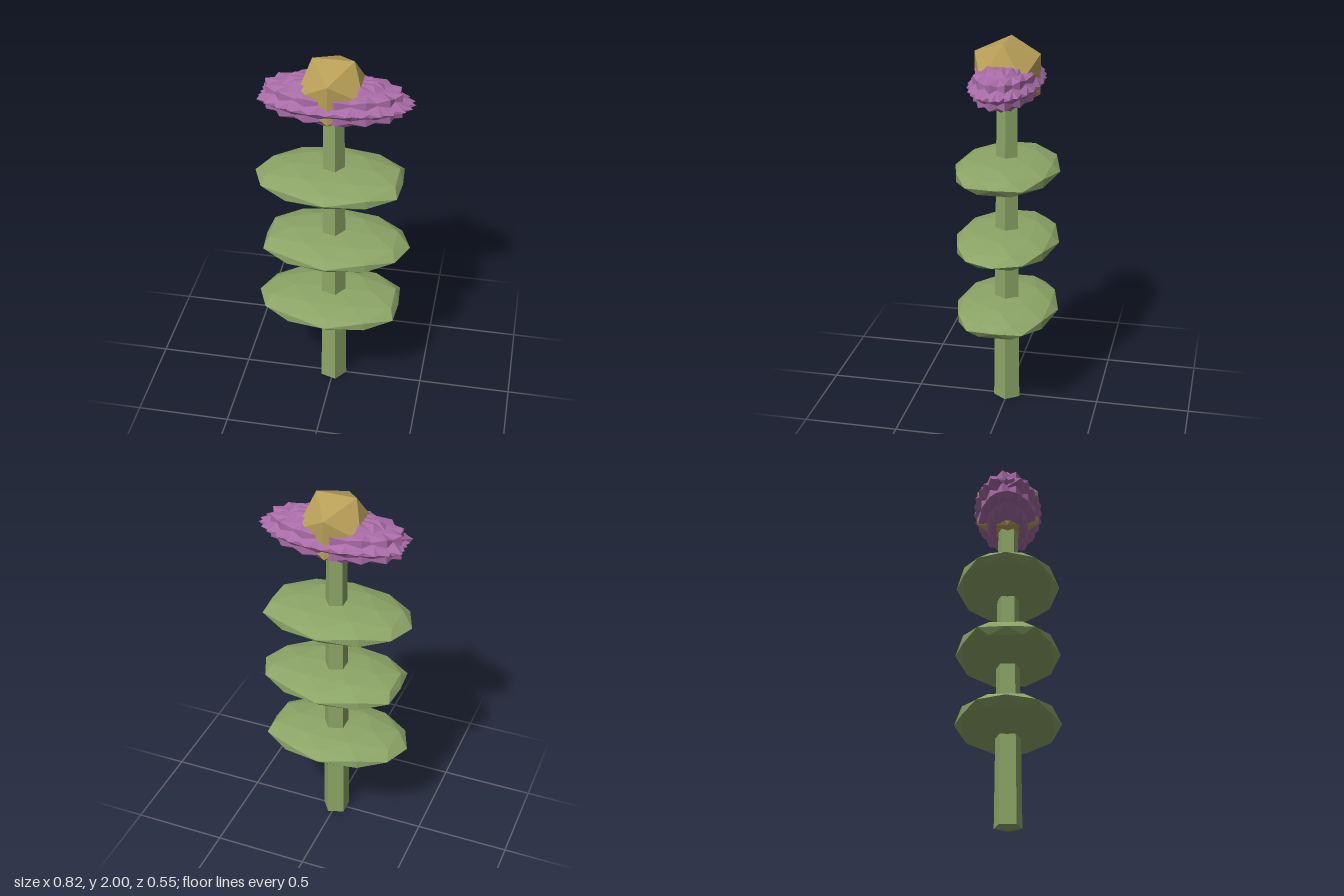
import * as THREE from 'three';

const material = (color) => new THREE.MeshStandardMaterial({ color, flatShading: true });

// Squashed faceted ball, blunted at one end by limiting x
function facetedDisc(detail, turn, sx, sy, sz, minX, maxX) {
  const g = new THREE.IcosahedronGeometry(1, detail);
  g.rotateY(turn);
  g.scale(sx, sy, sz);
  const p = g.attributes.position;
  for (let i = 0; i < p.count; i++) p.setX(i, THREE.MathUtils.clamp(p.getX(i), minX, maxX));
  g.computeVertexNormals();
  return g;
}

export function createModel() {
  const model = new THREE.Group();
  const green = material(0x8ca566);
  const purple = material(0xa86ca6);
  const gold = material(0xb89f58);

  const add = (parent, name, geometry, mat, y) => {
    const mesh = new THREE.Mesh(geometry, mat);
    mesh.name = name;
    mesh.position.y = y;
    parent.add(mesh);
    return mesh;
  };

  // Tapered five-sided stem with one corner towards +x
  const stemHeight = 1.78;
  const stem = new THREE.CylinderGeometry(0.055, 0.075, stemHeight, 5, 1, false, Math.PI / 2);
  add(model, 'stem', stem, green, stemHeight / 2);

  // Three leaf tiers, pointed ends alternating
  [0.54, 0.93, 1.325].forEach((y, i) => {
    const [minX, maxX] = i % 2 ? [-0.36, 0.41] : [-0.41, 0.36];
    add(model, 'leaf' + (i + 1), facetedDisc(1, 0, 0.41, 0.072, 0.277, minX, maxX), green, y);
  });

  // Spiky bloom: overlapping squashed icosahedra turned about the stem
  const petals = new THREE.Group();
  petals.name = 'petals';
  const count = 7;
  const tipAngle = Math.atan2(0.5257, 0.8507);
  for (let i = 0; i < count; i++) {
    const turn = tipAngle + (i * Math.PI) / count;
    add(petals, 'petal' + (i + 1), facetedDisc(0, turn, 0.41, 0.125, 0.19, -0.37, 0.41), purple, 1.79);
  }
  model.add(petals);

  // Flower centre
  add(model, 'flowerCentre', new THREE.IcosahedronGeometry(0.199, 0), gold, 1.831);

  return model;
}
